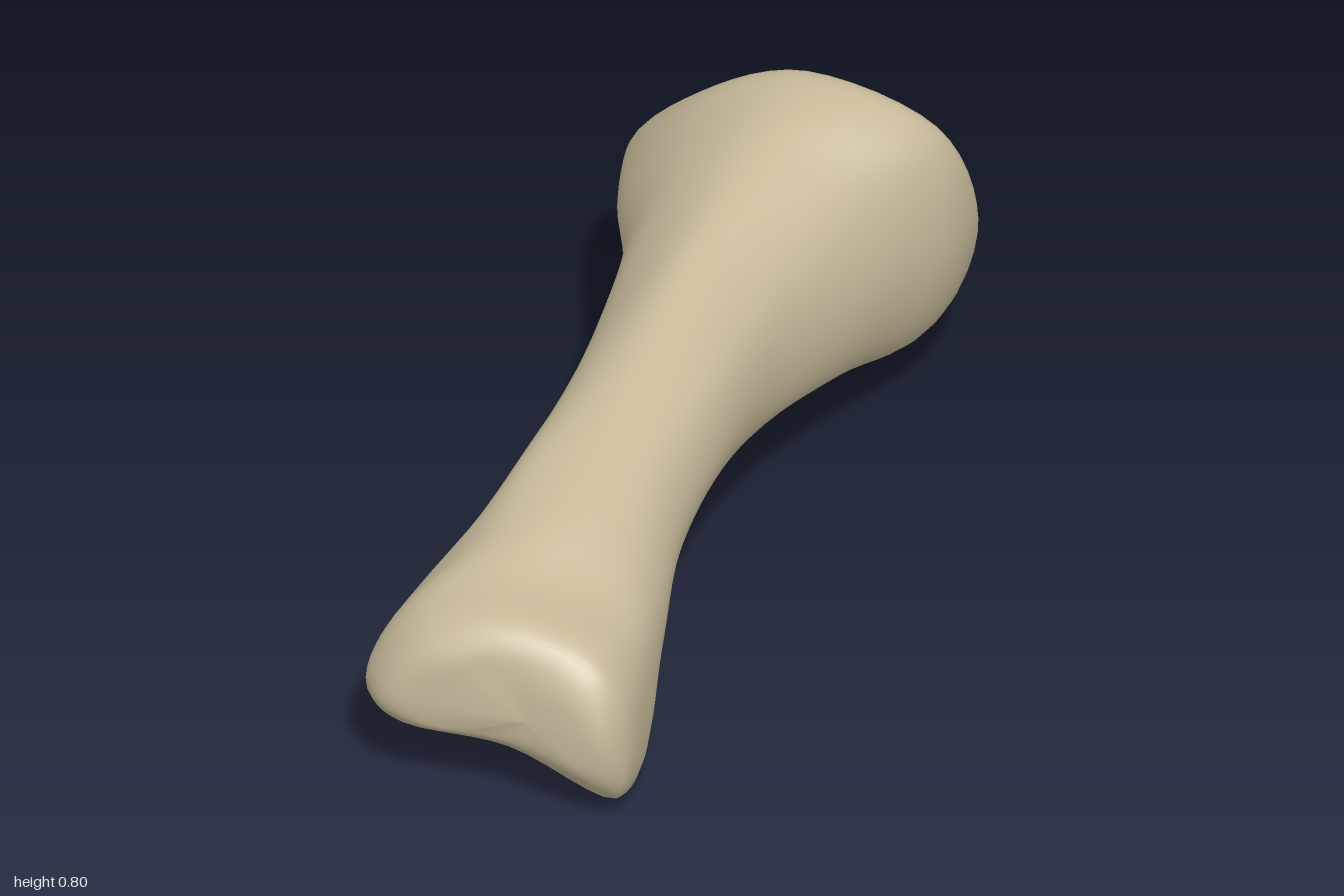
import * as THREE from 'three';

const AROUND = 48; // points around each cross-section
const STEPS = 5;   // rings between neighbouring sections

// Catmull-Rom blend of four numbers
function blend(a, b, c, d, t) {
  return 0.5 * (2 * b + (c - a) * t + (2 * a - 5 * b + 4 * c - d) * t * t + (3 * b - a - 3 * c + d) * t * t * t);
}

// A section is eight [x, y, z] points, ordered E NE N NW W SW S SE.

// Section at one z from radii about a centre
function radial(z, cx, cy, radii) {
  return radii.map((r, i) => {
    const angle = (i * Math.PI) / 4;
    return [cx + r * Math.cos(angle), cy + r * Math.sin(angle), z];
  });
}

// Section drawn in towards a point
function shrink(section, k, centre) {
  return section.map((p) => p.map((v, n) => centre[n] + (v - centre[n]) * k));
}

// Smooth loft through sections listed from back to front
function loft(list) {
  const at = (i) => list[Math.max(0, Math.min(list.length - 1, i))];
  const positions = [];
  const index = [];
  const rings = (list.length - 1) * STEPS + 1;
  for (let i = 0; i < rings; i++) {
    const k = Math.min(Math.floor(i / STEPS), list.length - 2);
    const t = i / STEPS - k;
    const ring = at(k).map((p, m) =>
      p.map((v, n) => blend(at(k - 1)[m][n], v, at(k + 1)[m][n], at(k + 2)[m][n], t)));
    for (let j = 0; j < AROUND; j++) {
      const u = (j / AROUND) * 8;
      const m = Math.floor(u);
      for (let n = 0; n < 3; n++) {
        positions.push(blend(ring[(m + 7) % 8][n], ring[m][n], ring[(m + 1) % 8][n], ring[(m + 2) % 8][n], u - m));
      }
    }
  }
  for (let i = 0; i < rings - 1; i++) {
    for (let j = 0; j < AROUND; j++) {
      const a = i * AROUND + j;
      const b = i * AROUND + ((j + 1) % AROUND);
      index.push(a, b, b + AROUND, a, b + AROUND, a + AROUND);
    }
  }
  const geometry = new THREE.BufferGeometry();
  geometry.setAttribute('position', new THREE.Float32BufferAttribute(positions, 3));
  geometry.setIndex(index);
  geometry.computeVertexNormals();
  return geometry;
}

// Joint face: raised lobe on the right side, shallow dish elsewhere
const dish = [
  [0.43, 0.42, -0.77], [0.36, 0.61, -0.72], [0.18, 0.67, -0.755], [0.03, 0.58, -0.83],
  [-0.08, 0.38, -0.995], [0.0, 0.29, -0.985], [0.2, 0.21, -0.905], [0.36, 0.26, -0.86],
];
const rim = [
  [0.525, 0.42, -0.735], [0.44, 0.67, -0.665], [0.18, 0.76, -0.70], [0.0, 0.65, -0.77],
  [-0.16, 0.40, -0.965], [-0.05, 0.24, -0.965], [0.2, 0.13, -0.91], [0.42, 0.20, -0.86],
];

// Base: widest part behind the shaft
const base = [
  [0.535, 0.43, -0.69], [0.46, 0.70, -0.62], [0.19, 0.795, -0.65], [-0.045, 0.685, -0.71],
  [-0.205, 0.42, -0.87], [-0.07, 0.20, -0.87], [0.2, 0.07, -0.81], [0.45, 0.16, -0.80],
];
const flareZ = [-0.58, -0.54, -0.55, -0.58, -0.66, -0.65, -0.63, -0.62];
const flare = radial(0, 0.16, 0.43, [0.34, 0.37, 0.355, 0.33, 0.36, 0.33, 0.325, 0.36])
  .map(([x, y], i) => [x, y, flareZ[i]]);

// Shaft
const shaft = [
  radial(-0.40, 0.10, 0.46, [0.28, 0.29, 0.29, 0.26, 0.26, 0.26, 0.28, 0.30]),
  radial(-0.12, 0.01, 0.44, [0.20, 0.22, 0.245, 0.20, 0.20, 0.20, 0.225, 0.22]),
  radial(0.15, -0.06, 0.41, [0.18, 0.20, 0.205, 0.19, 0.18, 0.18, 0.19, 0.18]),
  radial(0.40, -0.13, 0.37, [0.19, 0.19, 0.18, 0.20, 0.19, 0.17, 0.175, 0.20]),
];

// Head: a wide lobe on the right and a deep lobe on the left
const head = [
  [
    [0.045, 0.30, 0.6], [-0.02, 0.44, 0.6], [-0.18, 0.50, 0.6], [-0.33, 0.46, 0.6],
    [-0.455, 0.31, 0.6], [-0.36, 0.18, 0.6], [-0.19, 0.15, 0.6], [0.0, 0.12, 0.6],
  ],
  [
    [0.035, 0.25, 0.75], [-0.03, 0.39, 0.75], [-0.25, 0.455, 0.75], [-0.44, 0.40, 0.75],
    [-0.54, 0.24, 0.75], [-0.48, 0.15, 0.75], [-0.24, 0.12, 0.75], [-0.005, 0.005, 0.75],
  ],
  [
    [0.02, 0.24, 0.90], [-0.05, 0.385, 0.88], [-0.25, 0.435, 0.87], [-0.43, 0.385, 0.85],
    [-0.53, 0.24, 0.84], [-0.475, 0.155, 0.84], [-0.24, 0.13, 0.87], [-0.015, 0.03, 0.89],
  ],
  [
    [-0.005, 0.23, 0.965], [-0.06, 0.36, 0.945], [-0.24, 0.395, 0.92], [-0.40, 0.35, 0.91],
    [-0.48, 0.24, 0.90], [-0.43, 0.18, 0.90], [-0.24, 0.16, 0.92], [-0.03, 0.08, 0.955],
  ],
  [
    [-0.06, 0.23, 0.995], [-0.11, 0.31, 0.975], [-0.23, 0.33, 0.94], [-0.32, 0.31, 0.93],
    [-0.37, 0.24, 0.925], [-0.34, 0.20, 0.925], [-0.23, 0.19, 0.94], [-0.09, 0.15, 0.985],
  ],
];

export function createModel() {
  const group = new THREE.Group();
  group.name = 'bone';
  const boneColour = new THREE.MeshStandardMaterial({ color: 0xc6b999 });
  boneColour.name = 'bone ivory';

  const add = (name, list) => {
    const mesh = new THREE.Mesh(loft(list), boneColour);
    mesh.name = name;
    group.add(mesh);
  };

  const faceCentre = [0.2, 0.42, -0.845];
  const headTip = shrink(head[head.length - 1], 0.002, [-0.2, 0.24, 0.955]);
  add('shaftAndHead', [rim, base, flare, ...shaft, ...head, headTip]);
  add('jointFace', [shrink(dish, 0.002, faceCentre), shrink(dish, 0.45, faceCentre), dish, rim]);

  return group;
}
